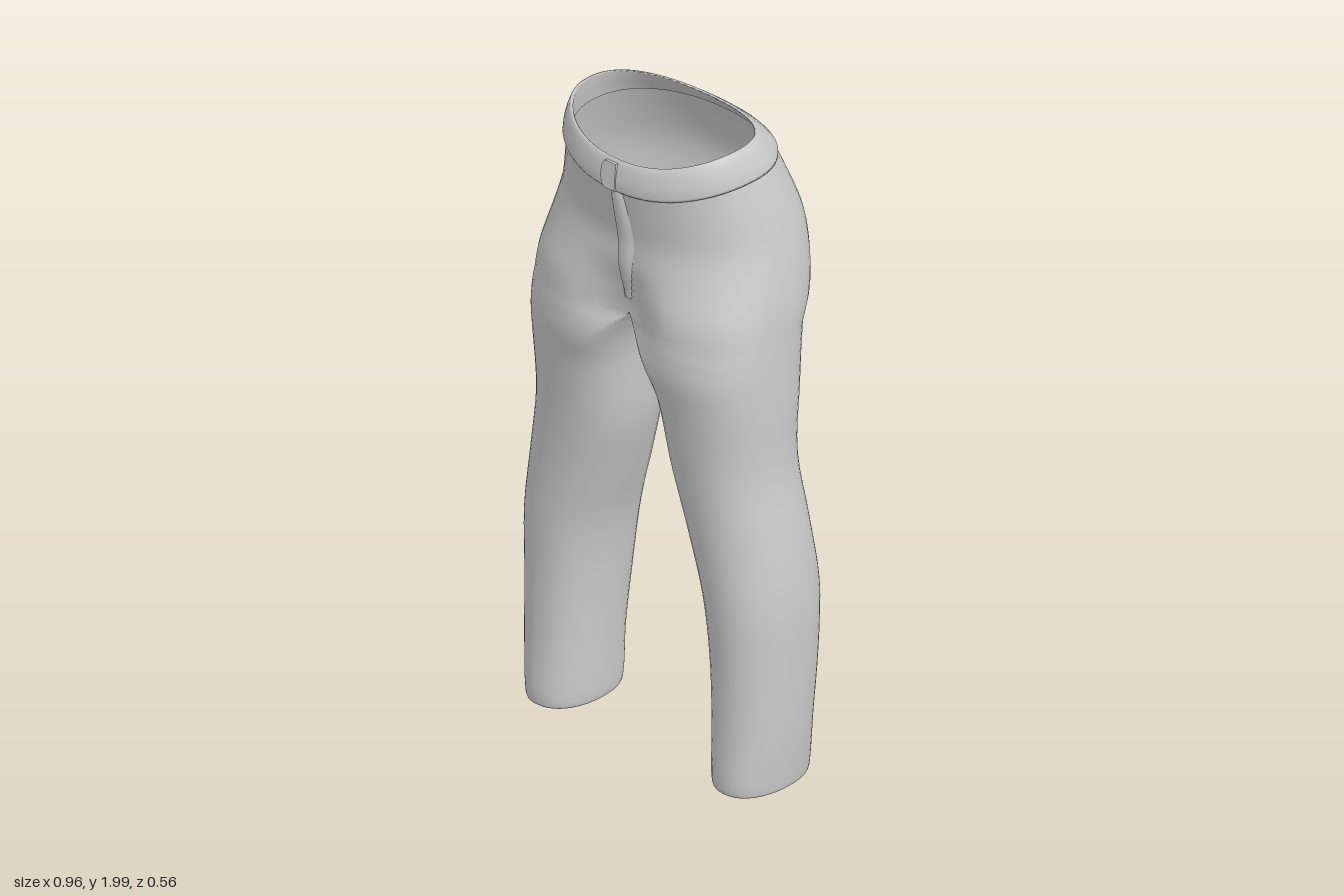
import * as THREE from 'three';
import { mergeGeometries, mergeVertices } from 'three/addons/utils/BufferGeometryUtils.js';

// Cross-sections from hem to waist: y, outer x, inner x, centre x, front z, back z, centre dip
const LEG = [
  [0.05, 0.435, 0.272, 0.355, 0.175, -0.09, 0],
  [0.008, 0.453, 0.252, 0.355, 0.193, -0.106, 0],
  [0.05, 0.462, 0.242, 0.355, 0.2, -0.112, 0],
  [0.2, 0.475, 0.235, 0.355, 0.193, -0.115, 0],
  [0.4, 0.481, 0.222, 0.35, 0.192, -0.135, 0],
  [0.6, 0.48, 0.195, 0.338, 0.2, -0.146, 0],
  [0.8, 0.456, 0.136, 0.296, 0.206, -0.136, 0],
  [1.0, 0.425, 0.082, 0.25, 0.22, -0.126, 0],
  [1.2, 0.42, 0.065, 0.215, 0.245, -0.145, 0],
  [1.3, 0.416, 0.047, 0.15, 0.265, -0.162, 0.02],
  [1.37, 0.413, 0.018, 0.07, 0.272, -0.18, 0.05],
];
const PELVIS = [
  [1.42, 0.41, 0, 0, 0.275, -0.2, 0.075],
  [1.5, 0.405, 0, 0, 0.27, -0.24, 0.06],
  [1.6, 0.39, 0, 0, 0.252, -0.27, 0.02],
  [1.7, 0.37, 0, 0, 0.24, -0.278, 0.005],
  [1.8, 0.346, 0, 0, 0.25, -0.25, 0],
  [1.905, 0.317, 0, 0, 0.265, -0.205, 0],
];
const SUB = 4, OUT = 28, INN = 20;

// Smooth interpolation of the section table
const rows = [...LEG, ...PELVIS];
const row = i => rows[Math.min(rows.length - 1, Math.max(0, i))];
const sections = [];
for (let i = 0; i < rows.length - 1; i++)
  for (let s = 0; s < SUB; s++) {
    const t = s / SUB, [a, b, c, d] = [row(i - 1), row(i), row(i + 1), row(i + 2)];
    sections.push(b.map((v, k) => v + 0.5 * t * (c[k] - a[k]
      + t * (2 * a[k] - 5 * v + 4 * c[k] - d[k] + t * (3 * (v - c[k]) + d[k] - a[k])))));
  }
sections.push(rows[rows.length - 1]);
const crotch = LEG.length * SUB;
for (let i = crotch; i < sections.length; i++) sections[i][2] = sections[i][3] = 0;

// Squarer sections around the thighs, rounder elsewhere
const power = y => 2.2 + 0.7 * Math.exp(-(((y - 1.42) / 0.2) ** 2));
const frontDrop = (y, z) => 0.055 * Math.min(1, Math.max(0, (y - 1.5) / 0.4)) * Math.max(0, (z - 0.03) / 0.235) ** 2;

// Point on a section: angle 0 is front, PI/2 outside, PI back
function sectionPoint([y, xo, xi, xc, zf, zb, dip], angle) {
  const e = 2 / power(y), s = Math.sin(angle), c = Math.cos(angle), cz = (zf + zb) / 2;
  const x = xc + (s >= 0 ? xo - xc : xc - xi) * Math.sign(s) * Math.abs(s) ** e;
  let z = cz + (zf - cz) * Math.sign(c) * Math.abs(c) ** e;
  z -= c * dip * Math.exp(-((x / 0.11) ** 2));
  return [x, y - frontDrop(y, z), z];
}

// Surface over a grid of points, rows running upward
function grid(lines) {
  const n = lines[0].length, index = [];
  for (let r = 0; r < lines.length - 1; r++)
    for (let i = 0; i < n - 1; i++) {
      const a = r * n + i, b = a + n;
      index.push(a, a + 1, b + 1, a, b + 1, b);
    }
  const g = new THREE.BufferGeometry();
  g.setAttribute('position', new THREE.Float32BufferAttribute(lines.flat(2), 3));
  g.setIndex(index);
  return g;
}

function mirrored(g) {
  const m = g.clone().scale(-1, 1, 1);
  m.setIndex(Array.from(g.index.array).reverse());
  return m;
}

function smooth(list) {
  const g = mergeVertices(mergeGeometries(list), 1e-5);
  g.computeVertexNormals();
  return g;
}

const arc = (sec, from, to, n) =>
  Array.from({ length: n + 1 }, (_, i) => sectionPoint(sec, from + (to - from) * i / n));

// Waistband: a raised profile swept around the waist
function waistband() {
  const profile = [[-0.006, 0.03], [0.008, 0], [0.013, 0.1], [0.013, 0.4], [0.008, 0.75],
    [0.003, 0.96], [-0.003, 1], [-0.008, 0.95], [-0.009, 0.5], [-0.012, 0.03]];
  const e = 2 / 2.2, n = 72;
  const lines = profile.map(([o, v]) => Array.from({ length: n + 1 }, (_, i) => {
    const t = i / n * Math.PI * 2, s = Math.sin(t), c = Math.cos(t);
    const mix = (a, b) => a + (b - a) * v;
    const front = mix(0.265, 0.262), back = mix(-0.205, -0.14), cz = (front + back) / 2;
    const low = 1.903 - (c > 0 ? 0.055 * c * c : 0);
    const high = 2 - (c > 0 ? 0.055 : 0.03) * c * c;
    return [(mix(0.314, 0.287) + o) * Math.sign(s) * Math.abs(s) ** e, mix(low, high),
      cz + ((front - back) / 2 + o) * Math.sign(c) * Math.abs(c) ** e];
  }));
  return smooth([grid(lines)]);
}

// Fly flap: a ridge at the centre that sinks into the front
function fly() {
  const cols = [[0, -0.004], [0.001, 0.01], [0.3, 0.012], [0.7, 0.009], [1, -0.004]];
  const picked = sections.slice(crotch + 3);
  const lines = picked.map((sec, r) => {
    const width = 0.012 + 0.042 * Math.sin(Math.PI * Math.min(1, 0.12 + 0.75 * r / picked.length));
    const [y, xo, , , zf, zb, dip] = sec, cz = (zf + zb) / 2, p = power(y);
    return cols.map(([u, lift]) => {
      const x = u * width;
      const z = cz + (zf - cz) * (1 - (x / xo) ** p) ** (1 / p) - dip * Math.exp(-((x / 0.11) ** 2));
      return [x, y - frontDrop(y, z), z + lift];
    });
  });
  return smooth([grid(lines)]);
}

// Overlapping end of the waistband
function tab() {
  const s = new THREE.Shape();
  s.moveTo(0.02, -0.044);
  s.lineTo(-0.015, -0.044);
  s.quadraticCurveTo(-0.034, -0.04, -0.034, 0);
  s.quadraticCurveTo(-0.034, 0.035, -0.018, 0.04);
  s.lineTo(0.02, 0.04);
  return new THREE.ExtrudeGeometry(s, { depth: 0.009, bevelEnabled: false });
}

export function createModel() {
  const group = new THREE.Group();
  const cloth = new THREE.MeshStandardMaterial({ color: 0xcccccc, side: THREE.DoubleSide });
  cloth.name = 'light grey cloth';
  const add = (name, geometry) => {
    const mesh = new THREE.Mesh(geometry, cloth);
    mesh.name = name;
    group.add(mesh);
    return mesh;
  };

  // Trouser body: outer half runs hem to waist, inner half closes each leg
  const outer = grid(sections.map(s => arc(s, 0, Math.PI, OUT)));
  const inner = grid(sections.slice(0, crotch + 1).map(s => arc(s, Math.PI, Math.PI * 2, INN)));
  add('trouserBody', smooth([outer, inner, mirrored(outer), mirrored(inner)]));

  add('waistband', waistband());
  add('flyFlap', fly());
  const end = add('waistbandTab', tab());
  end.position.set(0, 1.896, 0.27);
  end.rotation.x = -0.08;
  return group;
}
